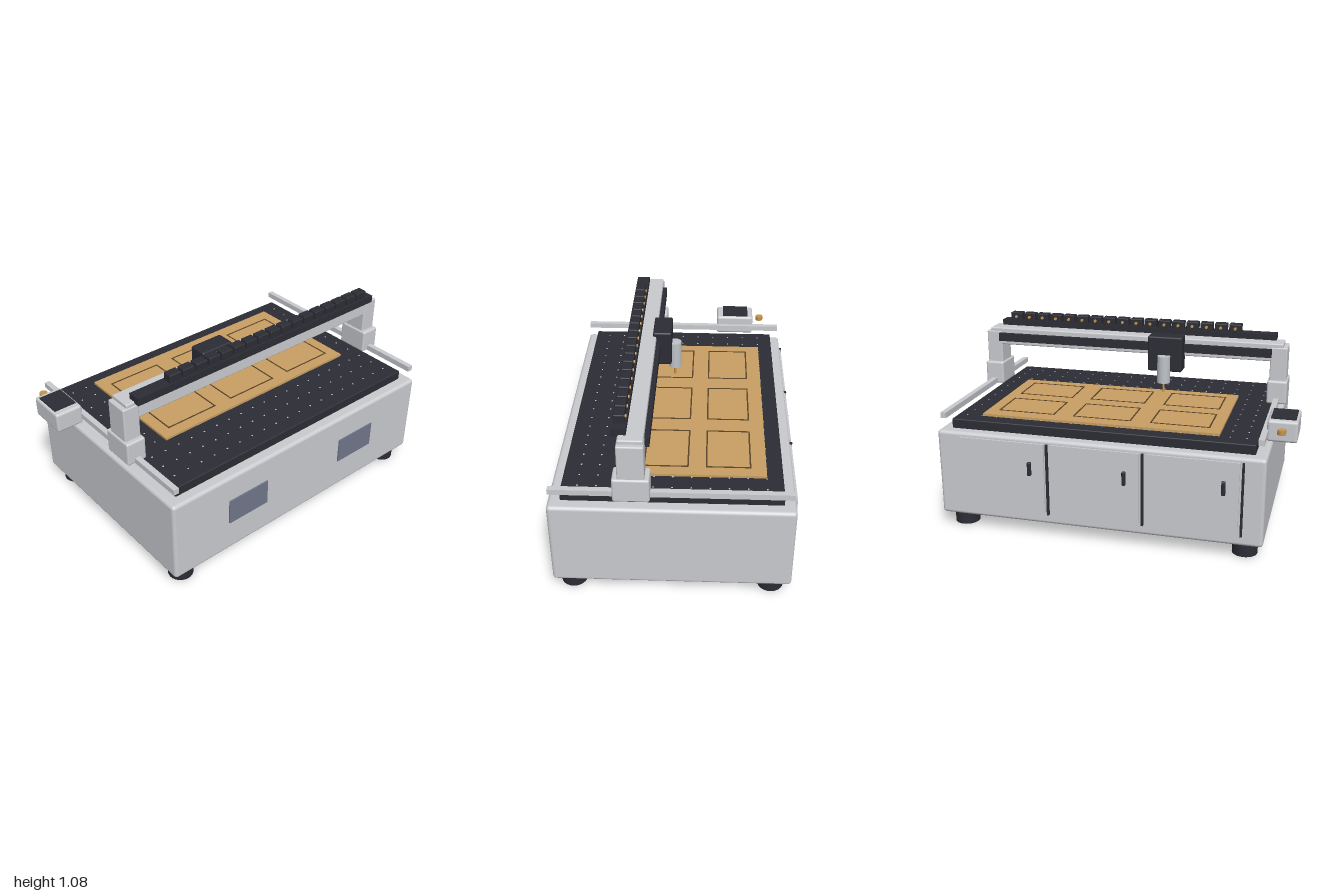
import * as THREE from 'three';
import { mergeGeometries } from 'three/addons/utils/BufferGeometryUtils.js';
import { RoundedBoxGeometry } from 'three/addons/geometries/RoundedBoxGeometry.js';

const mat = (name, color) => {
  const m = new THREE.MeshStandardMaterial({ color });
  m.name = name;
  return m;
};

export function createModel() {
  const root = new THREE.Group();
  root.name = 'routerTable';
  const grey = mat('lightGrey', 0xcacbcf);
  const black = mat('charcoal', 0x2c2c35);
  const wood = mat('wood', 0xc9a064);
  const groove = mat('groove', 0x5a4328);
  const glass = mat('slateGlass', 0x70778a);
  const steel = mat('steel', 0xbfc3c8);
  const brass = mat('brass', 0xc4954c);

  const add = (name, geometry, material, parent = root) => {
    const mesh = new THREE.Mesh(geometry, material);
    mesh.name = name;
    parent.add(mesh);
    return mesh;
  };
  // Box from its limits, with an optional edge radius
  const boxGeo = (x0, x1, y0, y1, z0, z1, r = 0) => {
    const s = [x1 - x0, y1 - y0, z1 - z0];
    const g = r ? new RoundedBoxGeometry(...s, 3, r) : new THREE.BoxGeometry(...s);
    return g.translate((x0 + x1) / 2, (y0 + y1) / 2, (z0 + z1) / 2);
  };
  const rod = (r, y0, y1, x, z, sides = 28) =>
    new THREE.CylinderGeometry(r, r, y1 - y0, sides).translate(x, (y0 + y1) / 2, z);
  const group = (name) => {
    const g = new THREE.Group();
    g.name = name;
    root.add(g);
    return g;
  };

  // Cabinet and feet
  add('cabinet', boxGeo(-0.865, 0.975, 0.08, 0.58, -0.63, 0.65, 0.02), grey);
  for (const x of [-0.76, 0.87]) {
    for (const z of [-0.525, 0.55]) {
      const foot = group('foot');
      add('footPad', rod(0.07, 0, 0.065, x, z), black, foot);
      add('footStem', rod(0.027, 0.06, 0.09, x, z), steel, foot);
    }
  }

  // Front windows
  for (const x of [-0.498, 0.335]) {
    add('frontWindow', boxGeo(x, x + 0.271, 0.272, 0.425, 0.649, 0.658), glass);
  }

  // Rear doors with hinge strips and handles
  for (const x of [-0.73, -0.193, 0.344]) {
    const door = group('rearDoor');
    add('doorPanel', boxGeo(x, x + 0.492, 0.155, 0.555, -0.641, -0.625), grey, door);
    add('hingeStrip', boxGeo(x - 0.024, x - 0.012, 0.14, 0.555, -0.646, -0.625), black, door);
    add('doorHandle', boxGeo(x + 0.07, x + 0.092, 0.37, 0.45, -0.66, -0.64, 0.007), black, door);
  }

  // Work bed with its grid of holes
  add('workBed', boxGeo(-0.8, 0.91, 0.575, 0.634, -0.567, 0.585, 0.006), black);
  const holes = [];
  for (let i = 0; i < 19; i++) {
    for (let j = 0; j < 11; j++) {
      holes.push(rod(0.005, 0.632, 0.6355, -0.74 + i * 0.0885, -0.48 + j * 0.098, 8));
    }
  }
  add('bedHoles', mergeGeometries(holes), steel);

  // Wooden sheet with six cut outlines
  add('woodSheet', boxGeo(-0.595, 0.76, 0.634, 0.648, -0.48, 0.235), wood);
  const cuts = [];
  const w = 0.335, d = 0.24, t = 0.008;
  for (let i = 0; i < 3; i++) {
    for (let j = 0; j < 2; j++) {
      const x = -0.53 + i * 0.445, z = -0.4 + j * 0.33;
      const cut = (x0, x1, z0, z1) => cuts.push(boxGeo(x0, x1, 0.646, 0.65, z0, z1));
      cut(x, x + w, z, z + t);
      cut(x, x + w, z + d - t, z + d);
      cut(x, x + t, z + t, z + d - t);
      cut(x + w - t, x + w, z + t, z + d - t);
    }
  }
  add('cutOutlines', mergeGeometries(cuts), groove);

  // Side rails and gantry posts
  for (const x of [-0.831, 0.938]) {
    const side = group('gantrySide');
    add('sideRail', boxGeo(x - 0.016, x + 0.016, 0.65, 0.682, -0.615, 0.638), grey, side);
    add('railCarriage', boxGeo(x - 0.058, x + 0.058, 0.647, 0.785, 0.115, 0.305, 0.012), grey, side);
    add('post', boxGeo(x - 0.049, x + 0.049, 0.77, 0.98, 0.14, 0.277, 0.008), grey, side);
  }

  // Gantry beam, rear guide and cable chain
  add('gantryBeam', boxGeo(-0.855, 0.962, 0.895, 1.001, 0.143, 0.272, 0.008), grey);
  add('rearGuide', boxGeo(-0.79, 0.9, 0.922, 0.97, 0.118, 0.146), black);
  add('chainTray', boxGeo(-0.805, 0.915, 0.992, 1.034, 0.23, 0.306), black);
  const chain = group('cableChain');
  for (let i = 0; i < 17; i++) {
    const x = -0.559 + i * 0.0866;
    add('chainLink', boxGeo(x - 0.037, x + 0.037, 1.03, 1.08, 0.24, 0.296, 0.005), black, chain);
    const pin = new THREE.CylinderGeometry(0.009, 0.009, 0.012, 12).rotateX(Math.PI / 2);
    add('chainPin', pin.translate(x, 1.055, 0.238), brass, chain);
  }

  // Tool head
  const head = group('toolHead');
  add('toolCarriage', boxGeo(-0.275, -0.07, 0.815, 1.024, 0.055, 0.162, 0.01), black, head);
  add('spindle', rod(0.038, 0.755, 0.915, -0.172, 0.038), steel, head);
  add('cutter', rod(0.007, 0.698, 0.756, -0.172, 0.038, 12), brass, head);

  // Control box at the right side
  const control = group('controlBox');
  add('controlCase', boxGeo(-1, -0.838, 0.617, 0.735, -0.45, -0.213, 0.015), grey, control);
  add('controlScreen', boxGeo(-0.987, -0.854, 0.733, 0.742, -0.416, -0.252), black, control);
  add('controlKnob', rod(0.023, 0.68, 0.706, -0.92, -0.497, 20), brass, control);

  return root;
}
